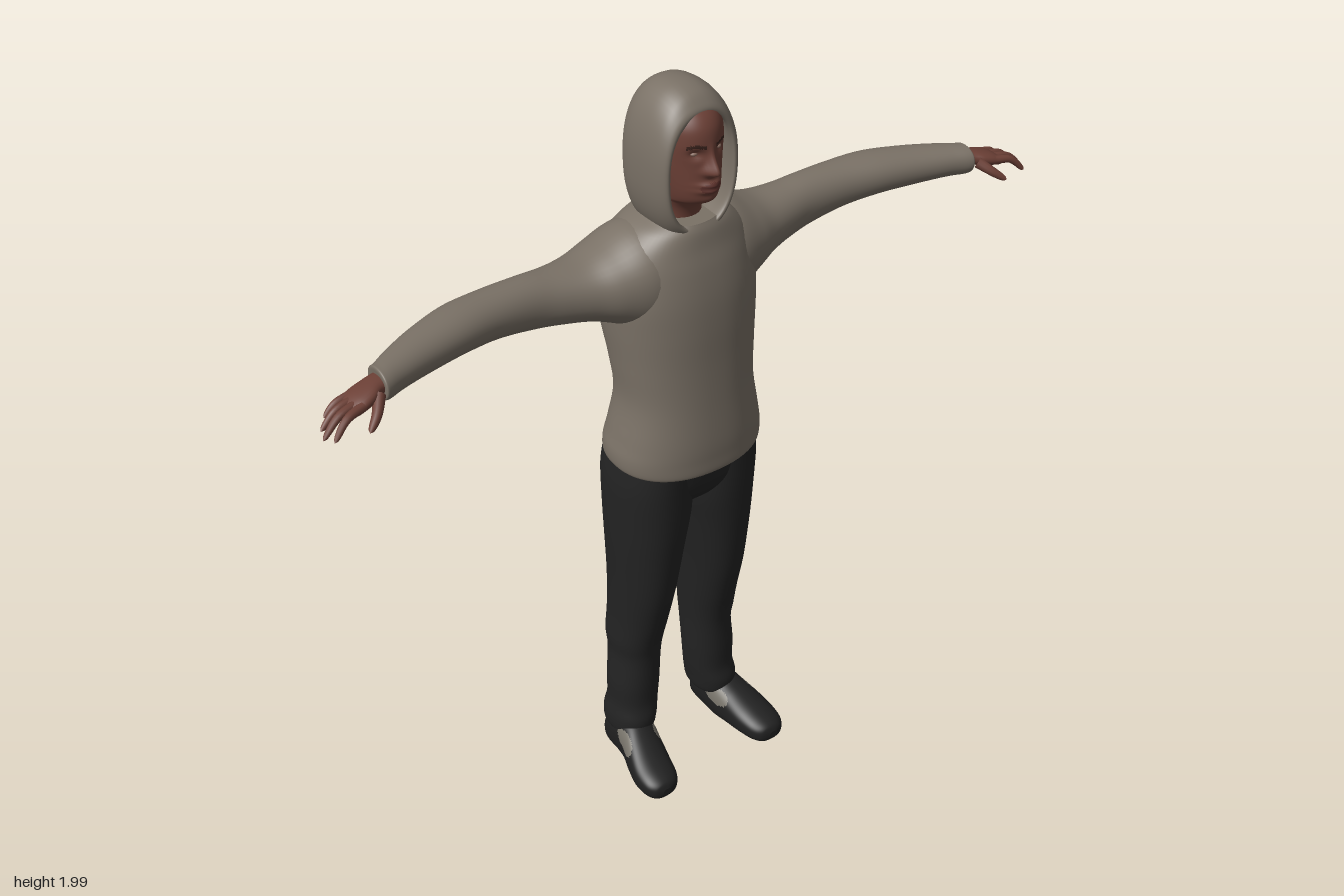
import * as THREE from 'three';

const mat = (name, color) => Object.assign(new THREE.MeshStandardMaterial({ color }), { name });

// Catmull-Rom interpolation of the section table
function refine(rows, steps) {
  const out = [], n = rows.length, at = i => rows[Math.min(n - 1, Math.max(0, i))];
  for (let i = 0; i < n - 1; i++) {
    const [a, b, c, d] = [at(i - 1), at(i), at(i + 1), at(i + 2)];
    for (let k = 0; k < steps; k++) {
      const t = k / steps;
      out.push(b.map((_, j) => b[j] + 0.5 * t * (c[j] - a[j] + t * (2 * a[j] - 5 * b[j] + 4 * c[j] - d[j]
        + t * (3 * (b[j] - c[j]) + d[j] - a[j])))));
    }
  }
  out.push(rows[n - 1]);
  return out;
}

// Closed skin over superellipse sections; row = [position on axis, uLow, uHigh, vLow, vHigh]
function loft(name, axis, rows, materials, { seg = 40, steps = 6, p = 2, side = 1, warp, pick } = {}) {
  const mats = [].concat(materials), pos = [], tris = mats.map(() => []);
  const place = (t, u, v) => {
    const q = axis === 'y' ? [u, t, v] : axis === 'x' ? [t, v, u] : [u, v, t];
    const w = new THREE.Vector3(...q);
    if (warp) warp(w);
    pos.push(w.x * side, w.y, w.z);
  };
  const ring = ([t, u0, u1, v0, v1]) => {
    for (let k = 0; k < seg; k++) {
      const a = k / seg * Math.PI * 2, c = Math.cos(a), s = Math.sin(a);
      const e = x => Math.sign(x) * Math.abs(x) ** (2 / p);
      place(t, (u0 + u1) / 2 + e(c) * (u1 - u0) / 2, (v0 + v1) / 2 + e(s) * (v1 - v0) / 2);
    }
  };
  const fine = refine(rows, steps), faces = [];
  fine.forEach(ring);
  for (let i = 0; i < fine.length - 1; i++) for (let k = 0; k < seg; k++) {
    const a = i * seg + k, b = i * seg + (k + 1) % seg;
    faces.push([a, b, b + seg], [a, b + seg, a + seg]);
  }
  // End caps on their own rings
  [fine[0], fine[fine.length - 1]].forEach((r, end) => {
    const base = pos.length / 3;
    ring(r);
    place(r[0], (r[1] + r[2]) / 2, (r[3] + r[4]) / 2);
    for (let k = 0; k < seg; k++) {
      const a = base + k, b = base + (k + 1) % seg, c = base + seg;
      faces.push(end ? [a, b, c] : [b, a, c]);
    }
  });
  const P = i => new THREE.Vector3().fromArray(pos, i * 3);
  let volume = 0;
  for (const f of faces) volume += P(f[0]).dot(P(f[1]).cross(P(f[2])));
  for (const f of faces) {
    if (volume < 0) f.reverse();
    const m = pick ? pick(P(f[0]).add(P(f[1])).add(P(f[2])).divideScalar(3)) : 0;
    tris[m].push(...f);
  }
  const g = new THREE.BufferGeometry();
  g.setAttribute('position', new THREE.Float32BufferAttribute(pos, 3));
  g.setIndex(tris.flat());
  let start = 0;
  tris.forEach((t, i) => { g.addGroup(start, t.length, i); start += t.length; });
  g.computeVertexNormals();
  const mesh = new THREE.Mesh(g, mats.length > 1 ? mats : mats[0]);
  mesh.name = name;
  return mesh;
}

// Finger: tube narrowing to a rounded tip
function finger(name, points, r0, r1, material) {
  const curve = new THREE.CatmullRomCurve3(points.map(q => new THREE.Vector3(...q)));
  const N = 16, R = 10, g = new THREE.TubeGeometry(curve, N, 1, R), a = g.attributes.position, v = new THREE.Vector3();
  for (let i = 0; i < a.count; i++) {
    const u = Math.floor(i / (R + 1)) / N, c = curve.getPointAt(u);
    const r = (r0 + (r1 - r0) * u) * Math.sqrt(Math.max(0, 1 - u ** 10));
    v.fromBufferAttribute(a, i).sub(c).multiplyScalar(r).add(c);
    a.setXYZ(i, v.x, v.y, v.z);
  }
  const mesh = new THREE.Mesh(g, material);
  mesh.name = name;
  return mesh;
}

const bump = (d, s) => Math.exp(-((d / s) ** 2));

export function createModel() {
  const model = new THREE.Group();
  model.name = 'hoodedFigure';
  const cloth = mat('hoodieCloth', 0x7a7166), skin = mat('skin', 0x6c4036), lip = mat('lips', 0x5c312b);
  const brow = mat('brows', 0x3a231d), eye = mat('eyes', 0x85695d), trouser = mat('trouserCloth', 0x232323);
  const leather = mat('shoeBlack', 0x202020), patch = mat('shoeGrey', 0x77736a);

  // Hoodie body, hem a little higher at the back
  model.add(loft('hoodieBody', 'y', [
    [1.015, -0.19, 0.19, -0.15, 0.138], [1.015, -0.203, 0.203, -0.16, 0.15], [1.05, -0.205, 0.205, -0.156, 0.151],
    [1.1, -0.195, 0.195, -0.146, 0.15], [1.2, -0.178, 0.178, -0.132, 0.142], [1.3, -0.185, 0.185, -0.145, 0.136],
    [1.4, -0.196, 0.196, -0.17, 0.132], [1.48, -0.2, 0.2, -0.178, 0.125], [1.55, -0.19, 0.19, -0.175, 0.112],
    [1.6, -0.17, 0.17, -0.16, 0.098], [1.64, -0.128, 0.128, -0.135, 0.088], [1.66, -0.09, 0.09, -0.11, 0.078],
  ], cloth, { seg: 64, p: 2.25, warp: v => { v.y -= v.z * 0.07 * Math.max(0, 1 - (v.y - 1.015) / 0.2); } }));

  // Hood: outer shell, rolled rim and lining
  model.add(loft('hood', 'z', [
    [-0.122, -0.03, 0.03, 1.74, 1.85], [-0.118, -0.068, 0.068, 1.66, 1.92], [-0.1, -0.094, 0.094, 1.62, 1.955],
    [-0.06, -0.11, 0.11, 1.6, 1.98], [0, -0.114, 0.114, 1.6, 1.985], [0.045, -0.111, 0.111, 1.61, 1.973],
    [0.07, -0.104, 0.104, 1.627, 1.952], [0.078, -0.095, 0.095, 1.638, 1.937], [0.07, -0.088, 0.088, 1.645, 1.927],
    [0.03, -0.092, 0.092, 1.645, 1.945], [-0.03, -0.095, 0.095, 1.645, 1.962], [-0.085, -0.075, 0.075, 1.68, 1.935],
    [-0.105, -0.03, 0.03, 1.75, 1.85],
  ], cloth, { seg: 56, p: 2.3 }));

  // Head with nose, eye sockets, lips and chin pushed out of the front
  model.add(loft('head', 'y', [
    [1.6, -0.055, 0.055, -0.075, 0.035], [1.67, -0.054, 0.054, -0.075, 0.04], [1.705, -0.056, 0.056, -0.075, 0.06],
    [1.722, -0.058, 0.058, -0.078, 0.097], [1.745, -0.063, 0.063, -0.08, 0.109], [1.78, -0.07, 0.07, -0.085, 0.109],
    [1.82, -0.076, 0.076, -0.09, 0.107], [1.87, -0.078, 0.078, -0.09, 0.11], [1.91, -0.074, 0.074, -0.085, 0.102],
    [1.94, -0.058, 0.058, -0.065, 0.075], [1.955, -0.02, 0.02, -0.03, 0.03],
  ], [skin, lip, brow], {
    seg: 112, steps: 10,
    warp: v => {
      if (v.z < 0.03) return;
      const x = Math.abs(v.x), y = v.y;
      v.z += 0.03 * bump(x, 0.008 + 0.009 * bump(y - 1.803, 0.02)) * bump(y - 1.806, y > 1.806 ? 0.036 : 0.012)
        - 0.011 * bump(x - 0.032, 0.015) * bump(y - 1.848, 0.012)
        + 0.012 * bump(x, 0.028) * (bump(y - 1.772, 0.007) + bump(y - 1.758, 0.007))
        + 0.003 * bump(x, 0.02) * bump(y - 1.732, 0.01);
    },
    pick: c => {
      const x = Math.abs(c.x);
      if (c.z > 0.07 && (x / 0.028) ** 2 + ((c.y - 1.765) / 0.013) ** 2 < 1) return 1;
      return c.z > 0.06 && x > 0.014 && x < 0.052 && Math.abs(c.y - 1.869 + Math.abs(x - 0.034) * 0.15) < 0.0045 ? 2 : 0;
    },
  }));

  // Seat of the trousers
  model.add(loft('trouserSeat', 'y', [
    [1.04, -0.18, 0.18, -0.14, 0.125], [0.98, -0.19, 0.19, -0.143, 0.118], [0.92, -0.17, 0.17, -0.138, 0.105],
    [0.87, -0.1, 0.1, -0.1, 0.07], [0.845, -0.03, 0.03, -0.04, 0.02],
  ], trouser, { p: 2.4 }));

  for (const s of [1, -1]) {
    const tag = s > 0 ? 'left' : 'right';
    const add = (part, axis, rows, m, opts) => model.add(loft(tag + part, axis, rows, m, { side: s, ...opts }));

    // Sleeve
    add('Sleeve', 'x', [
      [0.06, -0.16, 0.09, 1.37, 1.65], [0.13, -0.165, 0.088, 1.385, 1.643], [0.2, -0.157, 0.066, 1.42, 1.612],
      [0.26, -0.14, 0.04, 1.442, 1.594], [0.33, -0.122, 0.02, 1.456, 1.592], [0.4, -0.112, 0.01, 1.468, 1.597],
      [0.5, -0.106, 0.016, 1.486, 1.6], [0.6, -0.094, 0.036, 1.497, 1.602], [0.7, -0.06, 0.058, 1.503, 1.597],
      [0.78, -0.02, 0.081, 1.51, 1.592], [0.825, 0.008, 0.097, 1.512, 1.589], [0.838, 0.014, 0.098, 1.516, 1.587],
      [0.838, 0.03, 0.085, 1.53, 1.573],
    ], cloth, { p: 2.1 });

    // Hand
    add('Palm', 'x', [
      [0.8, 0.025, 0.085, 1.532, 1.572], [0.84, 0.03, 0.088, 1.535, 1.572], [0.87, 0.033, 0.105, 1.53, 1.568],
      [0.9, 0.036, 0.114, 1.526, 1.56], [0.92, 0.042, 0.113, 1.523, 1.55], [0.928, 0.055, 0.1, 1.53, 1.542],
    ], skin, { seg: 24, p: 2.3 });
    // Little, ring, middle and index finger: root z, tip x, tip y, tip z
    [[0.05, 0.967, 1.512, 0.05], [0.068, 0.99, 1.502, 0.077], [0.086, 0.999, 1.497, 0.103], [0.103, 0.985, 1.5, 0.128]]
      .forEach(([z, x, y, tz], i) => model.add(finger(`${tag}Finger${i + 1}`, [
        [s * 0.9, 1.544, z], [s * (0.915 + (x - 0.915) * 0.45), 1.536, z + (tz - z) * 0.5], [s * x, y, tz]], 0.0115, 0.007, skin)));
    model.add(finger(tag + 'Thumb', [[s * 0.855, 1.547, 0.09], [s * 0.88, 1.525, 0.122], [s * 0.91, 1.502, 0.143]], 0.015, 0.008, skin));

    // Trouser leg
    add('TrouserLeg', 'y', [
      [1.03, 0, 0.19, -0.14, 0.12], [0.95, -0.002, 0.2, -0.147, 0.115], [0.85, -0.002, 0.199, -0.146, 0.108],
      [0.75, 0.014, 0.195, -0.141, 0.098], [0.6, 0.034, 0.187, -0.136, 0.078], [0.48, 0.044, 0.184, -0.138, 0.05],
      [0.4, 0.05, 0.187, -0.14, 0.03], [0.34, 0.054, 0.183, -0.134, 0.02], [0.25, 0.058, 0.192, -0.128, 0.018],
      [0.18, 0.064, 0.192, -0.128, 0.016], [0.13, 0.072, 0.2, -0.136, 0.024], [0.09, 0.08, 0.198, -0.135, 0.018],
      [0.075, 0.095, 0.185, -0.12, 0],
    ], trouser, { p: 2.2 });

    // Shoe with grey side panels, flat underneath
    add('Shoe', 'z', [
      [-0.122, 0.125, 0.17, 0.005, 0.05], [-0.112, 0.11, 0.185, -0.01, 0.085], [-0.085, 0.103, 0.195, -0.015, 0.11],
      [-0.04, 0.098, 0.2, -0.015, 0.13], [0.005, 0.097, 0.207, -0.015, 0.123], [0.05, 0.105, 0.222, -0.015, 0.1],
      [0.1, 0.115, 0.234, -0.015, 0.074], [0.145, 0.127, 0.232, -0.012, 0.058], [0.17, 0.145, 0.217, -0.005, 0.045],
      [0.179, 0.17, 0.195, 0.01, 0.03],
    ], [leather, patch], {
      seg: 72, steps: 10, p: 2.4,
      warp: v => { v.y = Math.max(0, v.y); },
      pick: c => {
        const d = (c.z - 0.012) / 0.042, h = (c.y - 0.083 + d * 0.008) / 0.023;
        const sole = c.y < 0.002 && Math.abs(c.z - 0.03) < 0.03 && Math.abs(Math.abs(c.x) - 0.16) < 0.035;
        return d * d + h * h < 1 || sole ? 1 : 0;
      },
    });

    // Eye
    const ball = new THREE.Mesh(new THREE.SphereGeometry(0.011, 16, 12), eye);
    ball.name = tag + 'Eye';
    ball.scale.y = 0.55;
    ball.position.set(s * 0.032, 1.848, 0.083);
    model.add(ball);
  }
  return model;
}
